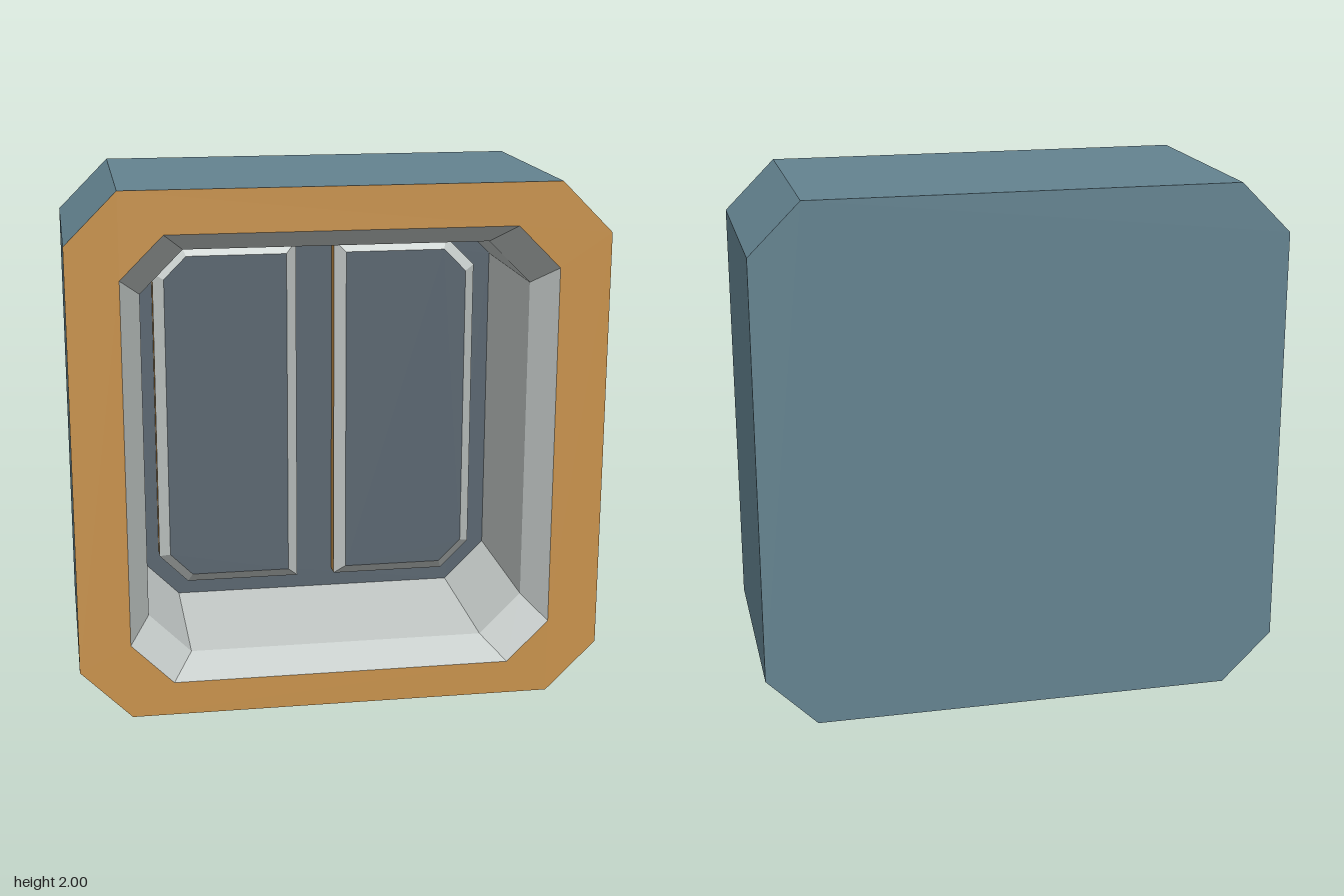
import * as THREE from 'three';

const material = (color) => new THREE.MeshStandardMaterial({ color, flatShading: true });

// Rectangle with cut corners, counter-clockwise; cl and cr are the left and right corner cuts
function ring(x0, x1, y0, y1, cl, cr) {
  const p = [];
  const corner = (x, y, c, ...offsets) => {
    if (c === 0) p.push([x, y]);
    else for (const [dx, dy] of offsets) p.push([x + dx * c, y + dy * c]);
  };
  corner(x0, y0, cl, [0, 1], [1, 0]);
  corner(x1, y0, cr, [-1, 0], [0, 1]);
  corner(x1, y1, cr, [0, -1], [-1, 0]);
  corner(x0, y1, cl, [1, 0], [0, -1]);
  return p;
}

// Band of flat faces between two rings; faces outward when zb > za, inward otherwise
function band(a, za, b, zb) {
  const pos = [];
  a.forEach((_, i) => {
    const j = (i + 1) % a.length;
    const q = [[...a[i], za], [...a[j], za], [...b[j], zb], [...b[i], zb]];
    for (const k of [0, 1, 2, 0, 2, 3]) pos.push(...q[k]);
  });
  const g = new THREE.BufferGeometry();
  g.setAttribute('position', new THREE.Float32BufferAttribute(pos, 3));
  g.computeVertexNormals();
  return g;
}

// Flat face filling a ring, with an optional opening
function face(outline, z, hole) {
  const toPoints = (r) => r.map(([x, y]) => new THREE.Vector2(x, y));
  const shape = new THREE.Shape(toPoints(outline));
  if (hole) shape.holes.push(new THREE.Path(toPoints(hole)));
  return new THREE.ShapeGeometry(shape).translate(0, 0, z);
}

export function createModel() {
  const model = new THREE.Group();
  const shell = material(0x648390);
  const trim = material(0xc8924c);
  const lining = material(0xc6ccca);
  const panel = material(0x5a6670);
  const add = (parent, name, geometry, mat) => {
    const mesh = new THREE.Mesh(geometry, mat);
    mesh.name = name;
    parent.add(mesh);
  };

  const FRONT = 0.45, BACK = -0.45, LIP = 0.315, FLOOR = -0.31;
  const outer = ring(-1, 1, 0, 2, 0.193, 0.193);
  const opening = ring(-0.807, 0.807, 0.13, 1.84, 0.16, 0.16);
  const cavity = ring(-0.73, 0.73, 0.197, 1.763, 0.16, 0.16);

  // Outer housing
  add(model, 'housingSides', band(outer, BACK, outer, FRONT), shell);
  add(model, 'housingBack', face(outer, 0).rotateY(Math.PI).translate(0, 0, BACK), shell);
  add(model, 'frontFrame', face(outer, FRONT, opening), trim);

  // Cavity: bevelled lip, straight walls and rear panel
  add(model, 'openingBevel', band(opening, FRONT, cavity, LIP), lining);
  add(model, 'cavityWalls', band(cavity, LIP, cavity, FLOOR), lining);
  add(model, 'rearPanel', face(cavity, FLOOR), panel);

  // Two raised plates on the rear panel, corners cut on the outer sides only
  const plateRing = (s, near, far, y0, y1, c) =>
    s > 0 ? ring(near, far, y0, y1, 0, c) : ring(-far, -near, y0, y1, c, 0);
  for (const s of [-1, 1]) {
    const plate = new THREE.Group();
    plate.name = s > 0 ? 'leftPlate' : 'rightPlate';
    const base = plateRing(s, 0.077, 0.65, 0.273, 1.685, 0.115);
    const top = plateRing(s, 0.12, 0.608, 0.317, 1.643, 0.09);
    add(plate, 'plateSides', band(base, FLOOR, base, -0.247), trim);
    add(plate, 'plateBevel', band(base, -0.247, top, -0.205), lining);
    add(plate, 'plateFace', face(top, -0.205), panel);
    model.add(plate);
  }
  return model;
}
